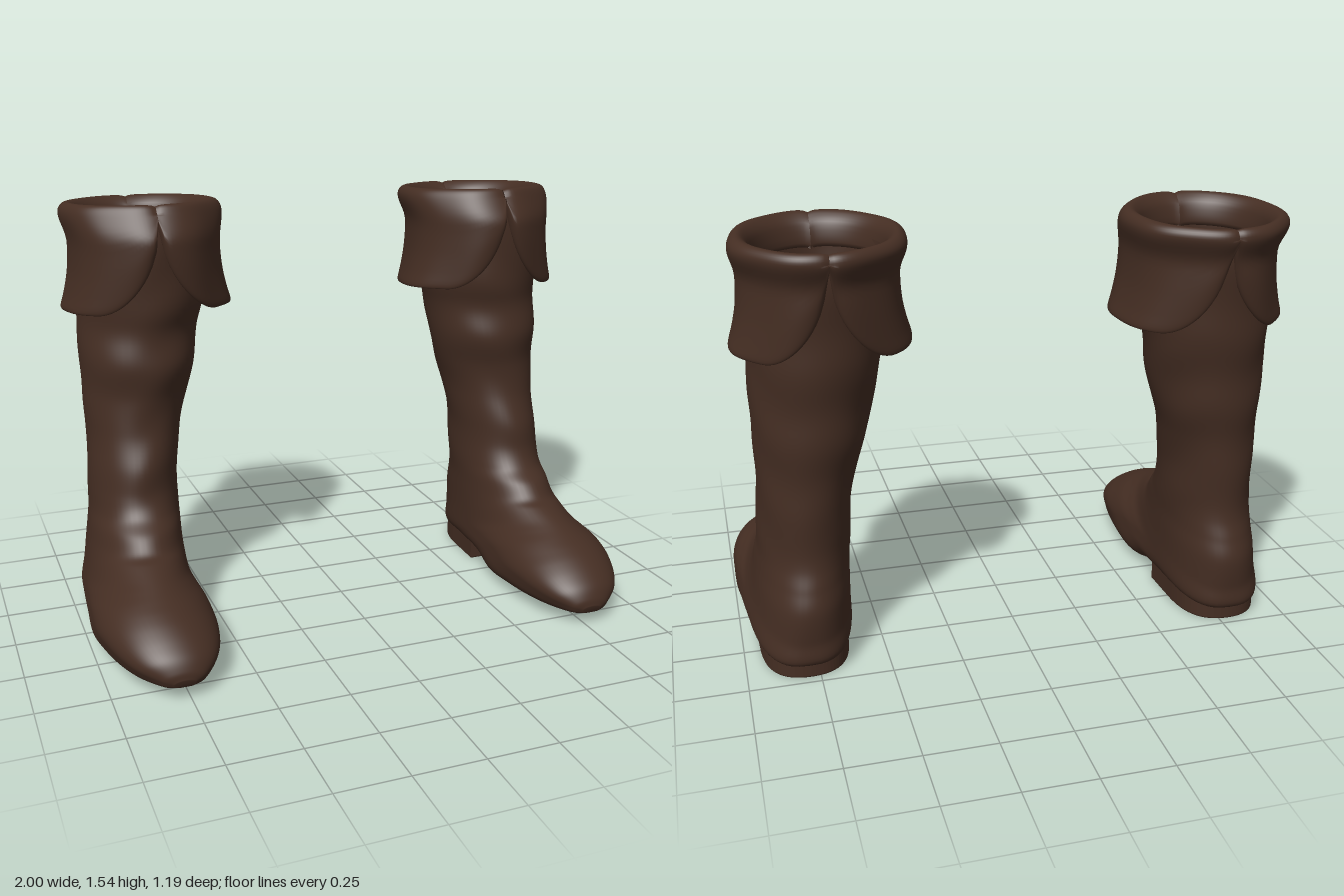
import * as THREE from 'three';

const leather = new THREE.MeshStandardMaterial({ color: 0x452e23, side: THREE.DoubleSide });
leather.name = 'dark brown leather';

// Smooth grid of points fn(i, j); columns wrap round, optional fan cap on the last row
function grid(rows, cols, fn, flip, cap) {
  const pos = [], idx = [];
  const tri = (a, b, c) => (flip ? idx.push(a, c, b) : idx.push(a, b, c));
  for (let i = 0; i <= rows; i++)
    for (let j = 0; j < cols; j++) pos.push(...fn(i / rows, j / cols));
  for (let i = 0; i < rows; i++)
    for (let j = 0; j < cols; j++) {
      const a = i * cols + j, b = i * cols + ((j + 1) % cols);
      tri(a, a + cols, b);
      tri(b, a + cols, b + cols);
    }
  if (cap) {
    const c = new THREE.Vector3(), first = rows * cols;
    for (let j = 0; j < cols; j++) c.add(new THREE.Vector3().fromArray(pos, (first + j) * 3));
    c.divideScalar(cols);
    const k = pos.push(c.x, c.y, c.z) / 3 - 1;
    for (let j = 0; j < cols; j++) tri(first + j, k, first + ((j + 1) % cols));
  }
  const g = new THREE.BufferGeometry();
  g.setAttribute('position', new THREE.Float32BufferAttribute(pos, 3));
  g.setIndex(idx);
  g.computeVertexNormals();
  return g;
}

function mesh(name, geometry) {
  const m = new THREE.Mesh(geometry, leather);
  m.name = name;
  return m;
}

// Cross-sections: front z, front y, back z, back y, centre x, half width.
// The back end runs down the shaft, round the heel and along the sole.
const BODY = [
  [-0.03, 1.46, -0.54, 1.46, 0.68, 0.24],
  [-0.03, 1.2, -0.52, 1.2, 0.69, 0.232],
  [-0.045, 1.08, -0.51, 1.08, 0.7, 0.22],
  [-0.025, 0.96, -0.495, 0.96, 0.712, 0.208],
  [-0.045, 0.84, -0.485, 0.84, 0.724, 0.194],
  [-0.035, 0.72, -0.47, 0.72, 0.74, 0.172],
  [0, 0.6, -0.46, 0.6, 0.753, 0.165],
  [0.015, 0.5, -0.455, 0.48, 0.758, 0.163],
  [0.05, 0.435, -0.46, 0.4, 0.762, 0.163],
  [0.11, 0.39, -0.48, 0.33, 0.768, 0.166],
  [0.16, 0.34, -0.5, 0.25, 0.773, 0.17],
  [0.21, 0.322, -0.492, 0.14, 0.779, 0.176],
  [0.28, 0.296, -0.475, 0.05, 0.786, 0.185],
  [0.33, 0.277, -0.3, 0.048, 0.79, 0.193],
  [0.38, 0.258, -0.1, 0.05, 0.792, 0.202],
  [0.43, 0.238, 0.05, 0.014, 0.791, 0.206],
  [0.48, 0.213, 0.2, 0.018, 0.786, 0.194],
  [0.53, 0.18, 0.35, 0.026, 0.78, 0.169],
  [0.572, 0.143, 0.47, 0.034, 0.775, 0.13],
  [0.594, 0.105, 0.56, 0.041, 0.77, 0.076],
  [0.6, 0.075, 0.588, 0.047, 0.77, 0.035],
];
const LINING = [
  [-0.07, 1.47, -0.52, 1.47, 0.675, 0.215],
  [-0.07, 1.2, -0.49, 1.2, 0.69, 0.205],
  [-0.08, 0.85, -0.455, 0.85, 0.728, 0.165],
  [-0.05, 0.5, -0.43, 0.5, 0.758, 0.14],
  [-0.06, 0.25, -0.465, 0.25, 0.765, 0.14],
  [-0.06, 0.12, -0.455, 0.12, 0.765, 0.138],
];

// Loft through cross-sections; the lower half grows squarer toward the sole
function loft(sections, side, rows, inside) {
  const front = new THREE.CatmullRomCurve3(sections.map(s => new THREE.Vector3(s[4], s[1], s[0])), false, 'catmullrom');
  const back = new THREE.CatmullRomCurve3(sections.map(s => new THREE.Vector3(s[5], s[3], s[2])), false, 'catmullrom');
  return grid(rows, 56, (t, v) => {
    const f = front.getPoint(t), b = back.getPoint(t), a = v * Math.PI * 2;
    let c = Math.cos(a), s = Math.sin(a);
    if (c < 0 && !inside) {
      const p = 1 - 0.5 * THREE.MathUtils.smoothstep(t, 0.43, 0.76);
      c = -Math.pow(-c, p);
      s = Math.sign(s) * Math.pow(Math.abs(s), p);
    }
    // soft creases down the shaft
    const fold = THREE.MathUtils.smoothstep(f.y, 0.35, 0.5) * 0.012;
    const w = 1 + fold * Math.sin(f.y * 24 + 2 * a + Math.sin(3 * a));
    return [
      side * (f.x + b.x * s * w),
      (f.y + b.y) / 2 + ((f.y - b.y) / 2) * c,
      (f.z + b.z) / 2 + ((f.z - b.z) / 2) * c * w,
    ];
  }, (side < 0) !== inside, true);
}

// Cuff profile: half width, height, half depth; inside lip, roll, outer face, hem, underside
const CUFF = new THREE.CatmullRomCurve3([
  [0.212, 1.42, 0.215], [0.218, 1.49, 0.222], [0.238, 1.524, 0.25], [0.262, 1.532, 0.272],
  [0.284, 1.515, 0.289], [0.289, 1.48, 0.297], [0.27, 1.4, 0.3], [0.274, 1.3, 0.301],
  [0.29, 1.22, 0.294], [0.306, 1.165, 0.284], [0.297, 1.16, 0.274], [0.27, 1.23, 0.272],
  [0.25, 1.32, 0.275], [0.245, 1.41, 0.27],
].map(p => new THREE.Vector3(...p)), true, 'catmullrom');

// Turned-down flap covering one half of the cuff, rounded off toward both slits
function flap(side, half) {
  return grid(64, 56, (u, v) => {
    const p = CUFF.getPoint(v), a = u * Math.PI, outer = v > 0.15;
    const edge = Math.min(u, 1 - u);
    const k = Math.max(0.1, Math.pow(Math.sin(Math.min(1, edge / 0.25) * Math.PI / 2), 0.42));
    const pinch = 1 - 0.025 * Math.exp(-edge * 55);
    const wave = pinch * (1 + 0.012 * Math.sin(a * 7 + half) * THREE.MathUtils.smoothstep(p.x, 0.22, 0.28));
    const y = outer && p.y < 1.5 ? 1.5 - (1.5 - p.y) * k : p.y - (1 - pinch) * 0.3;
    const forward = outer ? 0.045 * (1 - THREE.MathUtils.smoothstep(y, 1.4, 1.52)) : 0;
    const z = -0.3 + forward + p.z * Math.cos(a) * wave;
    return [side * (0.667 + half * p.x * Math.sin(a) * wave), y + 0.05 * (z + 0.28), z];
  }, side * half > 0, false);
}

// D-shaped heel block, straight at the front and rounded at the back
function heel(side) {
  const s = new THREE.Shape();
  s.moveTo(-0.155, 0.113);
  s.lineTo(0.155, 0.113);
  s.lineTo(0.15, 0.25);
  s.bezierCurveTo(0.147, 0.4, 0.1, 0.464, 0, 0.464);
  s.bezierCurveTo(-0.1, 0.464, -0.147, 0.4, -0.15, 0.25);
  s.closePath();
  const g = new THREE.ExtrudeGeometry(s, {
    depth: 0.09, bevelEnabled: true, bevelThickness: 0.008, bevelSize: 0.008, bevelSegments: 3, curveSegments: 20,
  });
  g.rotateX(-Math.PI / 2); // shape y becomes -z, depth becomes height
  g.translate(side * 0.784, 0.008, 0);
  return g;
}

function boot(side) {
  const g = new THREE.Group();
  g.name = side > 0 ? 'leftBoot' : 'rightBoot';
  g.add(
    mesh('shaftAndFoot', loft(BODY, side, 160, false)),
    mesh('lining', loft(LINING, side, 40, true)),
    mesh('heel', heel(side)),
    mesh('outerCuffFlap', flap(side, 1)),
    mesh('innerCuffFlap', flap(side, -1)),
  );
  return g;
}

export function createModel() {
  const model = new THREE.Group();
  model.name = 'pairOfBoots';
  model.add(boot(1), boot(-1));
  return model;
}
